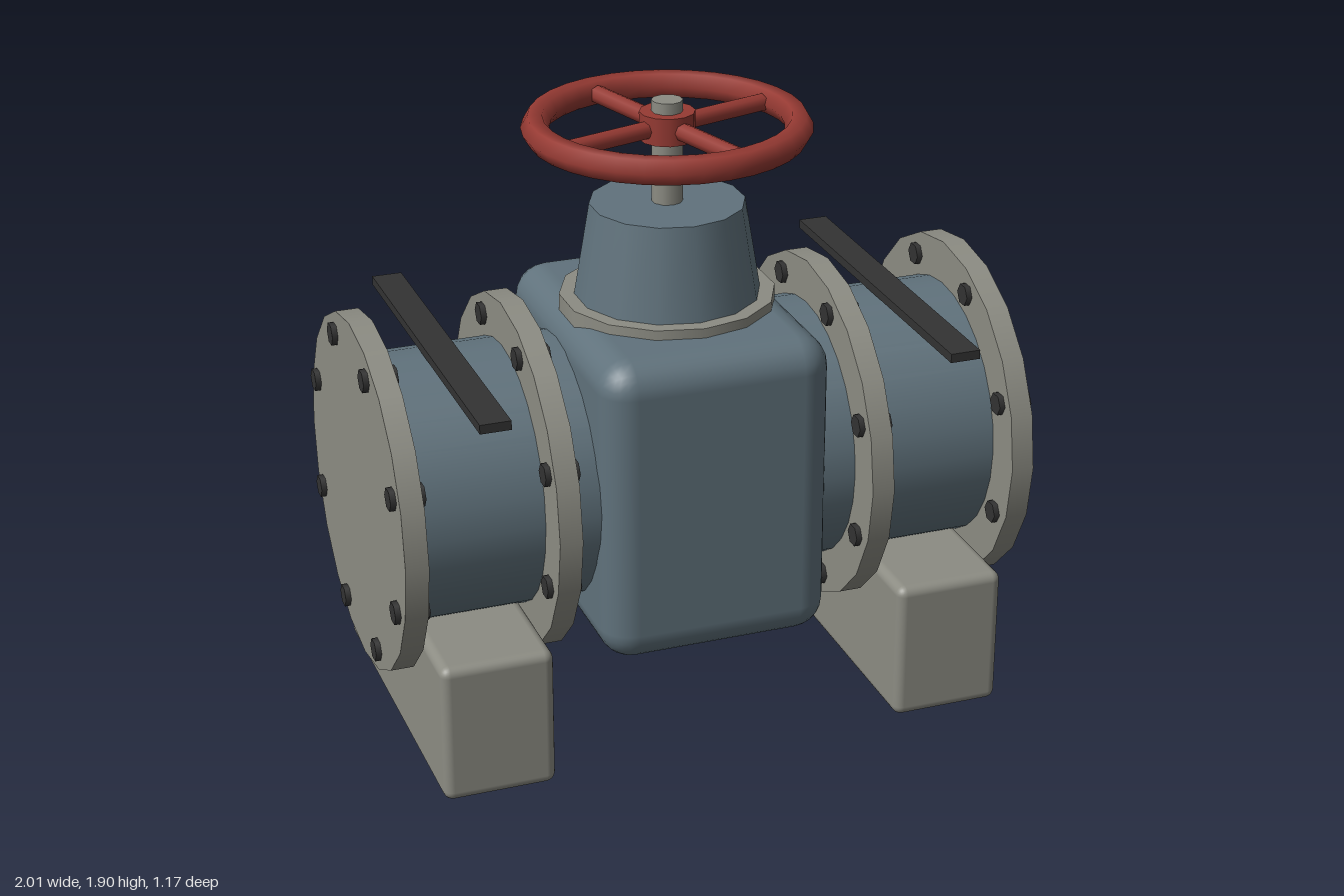
import * as THREE from 'three';
import { RoundedBoxGeometry } from 'three/addons/geometries/RoundedBoxGeometry.js';

const material = (name, color) => {
  const m = new THREE.MeshStandardMaterial({ color });
  m.name = name;
  return m;
};

export function createModel() {
  const blue = material('blue grey paint', 0x60727c);
  const grey = material('warm grey metal', 0x8c8c83);
  const dark = material('dark steel', 0x333333);
  const red = material('red paint', 0x963a33);

  const model = new THREE.Group();
  model.name = 'gateValve';
  const AXIS = 0.783; // height of the pipe centreline

  const add = (name, geometry, mat, x = 0, y = 0, z = 0, parent = model) => {
    const mesh = new THREE.Mesh(geometry, mat);
    mesh.name = name;
    mesh.position.set(x, y, z);
    parent.add(mesh);
    return mesh;
  };
  // Cylinder lying along x
  const rod = (radius, length, sides) =>
    new THREE.CylinderGeometry(radius, radius, length, sides).rotateZ(Math.PI / 2);

  // Pipe and valve body
  add('pipe', rod(0.41, 1.9, 28), blue, 0, AXIS);
  add('valveBody', new RoundedBoxGeometry(0.715, 0.97, 0.96, 3, 0.1), blue, 0, 0.785);

  // Flanges, each with a ring of eight hexagonal bolts
  const flangeGeometry = rod(0.545, 0.07, 20);
  const boltGeometry = rod(0.035, 0.105, 6);
  for (const x of [-0.95, -0.49, 0.49, 0.95]) {
    const flange = new THREE.Group();
    flange.name = 'boltedFlange';
    flange.position.set(x, AXIS, 0);
    model.add(flange);
    add('flange', flangeGeometry, grey, 0, 0, 0, flange);
    for (let i = 0; i < 8; i++) {
      const a = (i + 0.5) * Math.PI / 4;
      add('bolt', boltGeometry, dark, 0, 0.477 * Math.sin(a), 0.477 * Math.cos(a), flange);
    }
  }

  // Support blocks and flat straps on both sides
  for (const side of [-1, 1]) {
    add('supportBlock', new RoundedBoxGeometry(0.345, 0.445, 1.11, 3, 0.03), grey,
      side * 0.722, 0.2225);
    add('strap', new THREE.BoxGeometry(0.093, 0.028, 1.17), dark, side * 0.72, 1.209);
  }

  // Bonnet and stem
  add('bonnetFlange', new THREE.CylinderGeometry(0.328, 0.328, 0.06, 14), grey, 0, 1.27);
  add('bonnet', new THREE.CylinderGeometry(0.235, 0.285, 0.3, 14), blue, 0, 1.435);
  add('stem', new THREE.CylinderGeometry(0.047, 0.047, 0.34, 10), grey, 0, 1.73);

  // Handwheel with four spokes
  const wheel = new THREE.Group();
  wheel.name = 'handwheel';
  wheel.position.y = 1.82;
  wheel.rotation.y = THREE.MathUtils.degToRad(16.5);
  model.add(wheel);
  add('rim', new THREE.TorusGeometry(0.39, 0.043, 6, 32).rotateX(Math.PI / 2), red, 0, 0, 0, wheel);
  add('hub', new THREE.CylinderGeometry(0.084, 0.084, 0.085, 12), red, 0, 0.003, 0, wheel);
  for (let i = 0; i < 2; i++) {
    add('spokePair', rod(0.028, 0.71, 8), red, 0, 0, 0, wheel).rotation.y = i * Math.PI / 2;
  }

  return model;
}
